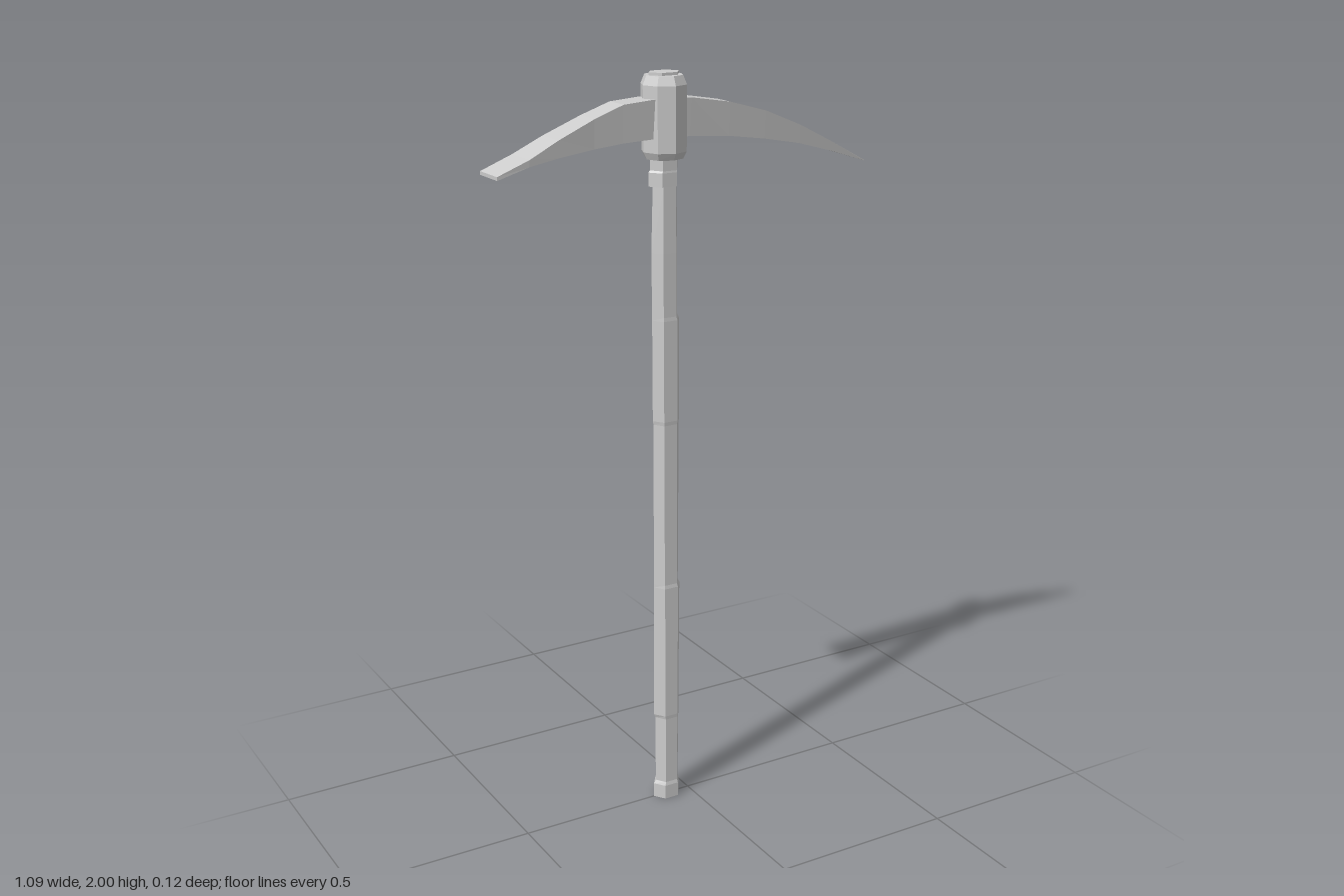
import * as THREE from 'three';

const steel = new THREE.MeshStandardMaterial({ color: 0xcccccc });
steel.name = 'plain grey';
steel.flatShading = true;

const AXIS = -0.068; // x of the handle's centre line

// Skin a list of equal-sized rings and close both ends
function loft(rings) {
  const pos = [];
  const n = rings[0].length;
  const tri = (...pts) => pts.forEach((p) => pos.push(...p));
  for (let i = 0; i < rings.length - 1; i++) {
    for (let j = 0; j < n; j++) {
      const k = (j + 1) % n;
      const a = rings[i][j], b = rings[i][k], c = rings[i + 1][k], d = rings[i + 1][j];
      tri(a, b, c);
      tri(a, c, d);
    }
  }
  const first = rings[0], last = rings[rings.length - 1];
  for (let j = 1; j < n - 1; j++) {
    tri(first[0], first[j + 1], first[j]);
    tri(last[0], last[j], last[j + 1]);
  }
  const g = new THREE.BufferGeometry();
  g.setAttribute('position', new THREE.Float32BufferAttribute(pos, 3));
  g.computeVertexNormals();
  return g;
}

// Horizontal ring with its own reach to -x, +x and z
function ring(y, left, right, depth, sides = 6) {
  return Array.from({ length: sides }, (_, i) => {
    const a = (i / sides) * Math.PI * 2;
    const c = Math.cos(a);
    return [AXIS + c * (c < 0 ? left : right), y, -Math.sin(a) * depth];
  });
}

function add(group, name, geometry) {
  const mesh = new THREE.Mesh(geometry, steel);
  mesh.name = name;
  group.add(mesh);
}

export function createModel() {
  const group = new THREE.Group();
  group.name = 'pickaxe';

  // Hexagonal handle, with small steps at different heights on each side
  add(group, 'handle', loft([
    [0, 0.041, 0.038, 0.034],
    [0.04, 0.041, 0.038, 0.034],
    [0.05, 0.035, 0.035, 0.031],
    [0.245, 0.035, 0.038, 0.032],
    [0.255, 0.039, 0.038, 0.033],
    [0.635, 0.037, 0.042, 0.033],
    [0.645, 0.037, 0.037, 0.031],
    [1.095, 0.035, 0.041, 0.031],
    [1.105, 0.037, 0.042, 0.032],
    [1.375, 0.037, 0.042, 0.033],
    [1.385, 0.037, 0.037, 0.032],
    [1.55, 0.038, 0.037, 0.033],
    [1.72, 0.033, 0.036, 0.031],
    [1.8, 0.036, 0.036, 0.032],
    [1.96, 0.043, 0.043, 0.034],
    [2.0, 0.043, 0.043, 0.034],
  ].map((r) => ring(...r))));

  // Collar under the head
  add(group, 'collar', loft([
    [1.72, 0.045, 0.037, 0.036],
    [1.755, 0.045, 0.037, 0.036],
    [1.76, 0.04, 0.038, 0.035],
    [1.8, 0.04, 0.04, 0.035],
  ].map((r) => ring(...r))));

  // Bevelled octagonal eye
  add(group, 'headSocket', loft([
    [1.788, 0.049, 0.049, 0.049],
    [1.806, 0.058, 0.058, 0.059],
    [1.97, 0.059, 0.059, 0.06],
    [1.993, 0.049, 0.049, 0.05],
  ].map((r) => ring(...r, 8))));

  // Curved blade from the flat chisel end to the pointed end:
  // x, top y, bottom y, half width at top, half width at bottom
  add(group, 'blade', loft([
    [-0.545, 1.79, 1.781, 0.048, 0.048],
    [-0.46, 1.823, 1.806, 0.049, 0.048],
    [-0.38, 1.862, 1.819, 0.044, 0.042],
    [-0.28, 1.904, 1.831, 0.038, 0.034],
    [-0.2, 1.932, 1.838, 0.036, 0.031],
    [-0.12, 1.938, 1.841, 0.036, 0.029],
    [-0.01, 1.937, 1.841, 0.036, 0.028],
    [0.106, 1.918, 1.832, 0.033, 0.026],
    [0.215, 1.888, 1.816, 0.028, 0.022],
    [0.325, 1.843, 1.795, 0.021, 0.017],
    [0.43, 1.791, 1.766, 0.012, 0.01],
    [0.545, 1.731, 1.729, 0.001, 0.001],
  ].map(([x, t, b, w, v]) => [[x, t, -w], [x, t, w], [x, b, v], [x, b, -v]])));

  return group;
}
